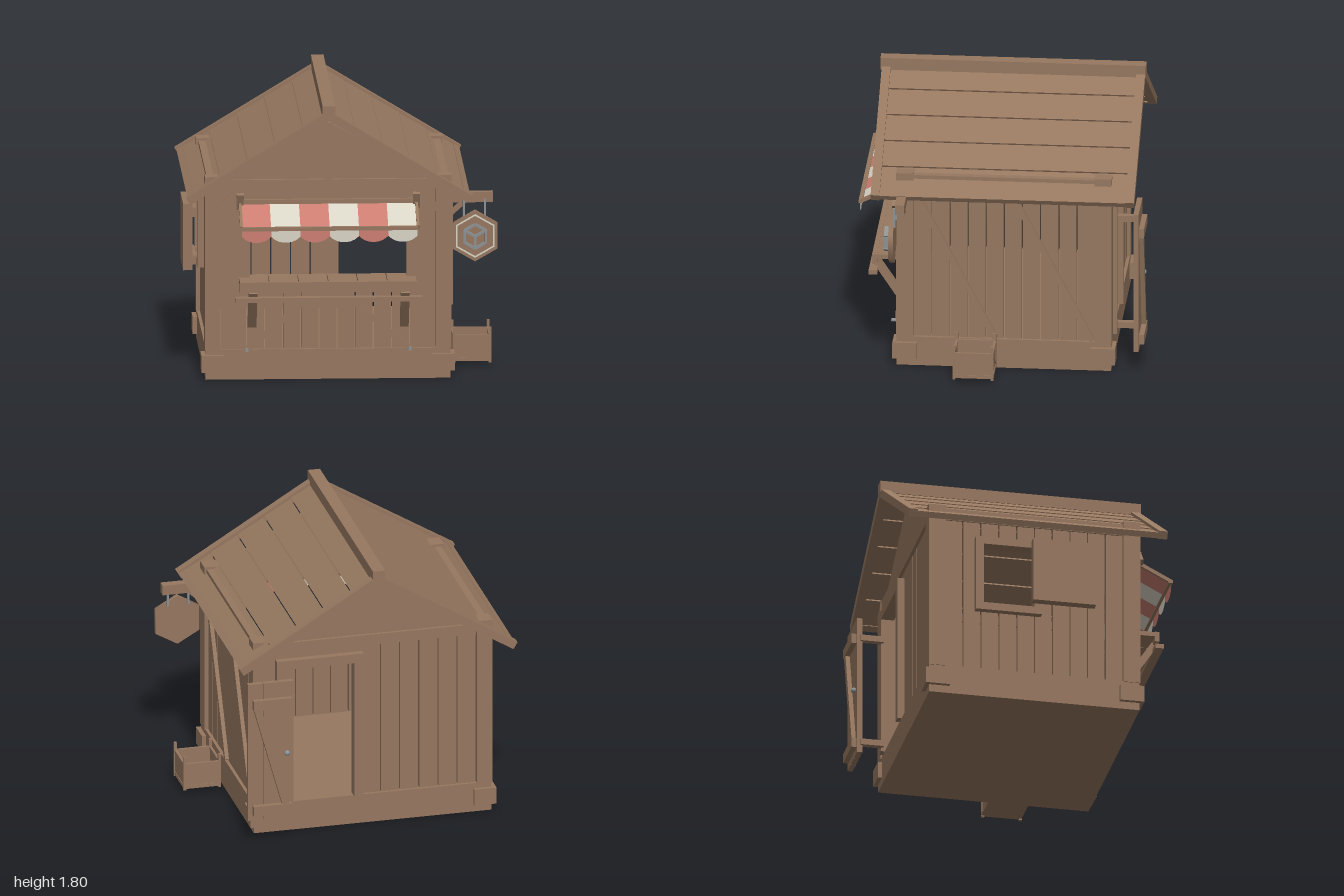
import * as THREE from 'three';

const material = (name, color, side = THREE.FrontSide) => {
  const m = new THREE.MeshStandardMaterial({ color, side });
  m.name = name;
  return m;
};

export function createModel() {
  const wood = material('wood', 0x967860);
  const cream = material('cream cloth', 0xd9d5c6, THREE.DoubleSide);
  const red = material('red cloth', 0xcc7d72, THREE.DoubleSide);
  const metal = material('grey metal', 0x8b9294);

  const root = new THREE.Group();
  root.name = 'marketHut';
  const CX = -0.08, ZC = -0.025; // house centre
  const sides = [-1, 1];

  const add = (name, geo, mat = wood, parent = root) => {
    const m = new THREE.Mesh(geo, mat);
    m.name = name;
    parent.add(m);
    return m;
  };
  const box = (name, x0, x1, y0, y1, z0, z1, mat = wood, parent = root) => {
    const m = add(name, new THREE.BoxGeometry(x1 - x0, y1 - y0, z1 - z0), mat, parent);
    m.position.set((x0 + x1) / 2, (y0 + y1) / 2, (z0 + z1) / 2);
    return m;
  };
  const beam = (name, p, q, w, d, mat = wood, parent = root) => {
    const a = new THREE.Vector3(...p), b = new THREE.Vector3(...q);
    const m = add(name, new THREE.BoxGeometry(w, a.distanceTo(b), d), mat, parent);
    m.position.copy(a).add(b).multiplyScalar(0.5);
    m.quaternion.setFromUnitVectors(new THREE.Vector3(0, 1, 0), b.sub(a).normalize());
    return m;
  };
  // Row of upright planks along x or z, with narrow gaps
  const planks = (name, axis, from, to, y0, y1, w0, w1) => {
    const n = Math.max(1, Math.round((to - from) / 0.12));
    const step = (to - from) / n;
    for (let i = 0; i < n; i++) {
      const a = from + i * step + 0.004, b = from + (i + 1) * step - 0.004;
      if (axis === 'x') box(name, a, b, y0, y1, w0, w1);
      else box(name, w0, w1, y0, y1, a, b);
    }
  };

  // Base, corner blocks and posts
  box('base', -0.86, 0.70, 0, 0.195, -0.71, 0.66);
  for (const sx of sides) for (const sz of sides) {
    const x = CX + sx * 0.735, z = ZC + sz * 0.633;
    box('cornerBlock', x - 0.073, x + 0.073, 0.05, 0.16, z - 0.078, z + 0.078);
    const px = CX + sx * 0.735;
    box('cornerPost', px - 0.05, px + 0.05, 0.19, 1.315, z - 0.055, z + 0.055);
  }
  for (const sx of sides) {
    const x = CX + sx * 0.74;
    box('topPlate', x - 0.03, x + 0.03, 1.22, 1.30, -0.62, 0.57);
  }

  // Right and left side walls; the left of the pair has a window
  planks('sidePlank', 'z', -0.605, 0.555, 0.19, 1.24, 0.65, 0.68);
  beam('sideBrace', [0.69, 1.2, 0.55], [0.69, 0.2, 0.03], 0.03, 0.036);
  beam('sideBrace', [0.69, 1.2, -0.07], [0.69, 0.2, -0.59], 0.03, 0.036);
  planks('sidePlank', 'z', -0.605, -0.37, 0.19, 1.24, -0.84, -0.81);
  planks('sidePlank', 'z', -0.37, -0.02, 0.19, 0.64, -0.84, -0.81);
  planks('sidePlank', 'z', -0.37, -0.02, 1.07, 1.24, -0.84, -0.81);
  planks('sidePlank', 'z', -0.02, 0.555, 0.19, 1.24, -0.84, -0.81);
  box('windowSill', -0.885, -0.80, 0.60, 0.65, -0.41, 0.02);
  box('windowHead', -0.885, -0.80, 1.06, 1.11, -0.41, 0.02);
  box('windowJamb', -0.885, -0.80, 0.65, 1.06, -0.41, -0.36);
  box('windowJamb', -0.885, -0.80, 0.65, 1.06, -0.03, 0.02);
  // Open shutter
  box('shutter', -0.99, -0.93, 0.65, 1.08, -0.06, 0.35);
  box('shutterBatten', -0.93, -0.905, 0.68, 0.74, -0.03, 0.32);
  box('shutterBatten', -0.93, -0.905, 0.99, 1.05, -0.03, 0.32);
  box('shutterHinge', -0.91, -0.86, 0.70, 0.73, -0.04, 0.0);
  box('shutterHinge', -0.91, -0.86, 1.0, 1.03, -0.04, 0.0);

  // Front wall with the serving opening
  planks('frontPlank', 'x', -0.765, -0.60, 0.19, 1.24, 0.61, 0.64);
  planks('frontPlank', 'x', 0.44, 0.605, 0.19, 1.24, 0.61, 0.64);
  planks('frontPlank', 'x', -0.60, 0.44, 0.19, 0.61, 0.61, 0.64);
  box('openingHeader', -0.68, 0.52, 1.16, 1.225, 0.60, 0.65);
  for (const s of sides) {
    const x = CX + s * 0.55;
    box('openingPost', x - 0.05, x + 0.05, 0.60, 1.18, 0.60, 0.65);
    beam('kneeBrace', [CX + s * 0.735, 1.06, 0.675], [CX + s * 0.555, 1.25, 0.675], 0.04, 0.035);
    beam('frontBrace', [CX + s * 0.52, 0.195, 0.675], [CX + s * 0.06, 0.59, 0.675], 0.035, 0.03);
    const bolt = add('bolt', new THREE.CylinderGeometry(0.012, 0.012, 0.03, 8), metal);
    bolt.rotation.x = Math.PI / 2;
    bolt.position.set(CX + s * 0.52, 0.2, 0.70);
    beam('counterBrace', [CX + s * 0.485, 0.35, 0.65], [CX + s * 0.485, 0.60, 0.815], 0.055, 0.045);
  }

  // Counter
  for (let i = 0; i < 6; i++) {
    const x = -0.65 + i * 0.1883;
    box('counterPlank', x + 0.002, x + 0.186, 0.63, 0.66, 0.55, 0.815);
  }
  box('counterFront', -0.65, 0.48, 0.595, 0.662, 0.805, 0.835);
  box('counterRail', -0.68, 0.51, 0.535, 0.565, 0.80, 0.855);

  // Back wall with the doorway
  planks('backPlank', 'x', -0.765, -0.01, 0.19, 1.24, -0.69, -0.66);
  planks('backPlank', 'x', 0.545, 0.605, 0.19, 1.24, -0.69, -0.66);
  box('doorJamb', -0.015, 0.045, 0.195, 1.18, -0.735, -0.65);
  box('doorJamb', 0.495, 0.555, 0.195, 1.18, -0.735, -0.65);
  box('doorHead', 0.045, 0.495, 1.12, 1.18, -0.735, -0.65);
  box('doorLintel', -0.015, 0.555, 1.18, 1.24, -0.69, -0.66);

  // Door swung fully open
  for (let i = 0; i < 3; i++) {
    const x = 0.485 + i * 0.1;
    box('doorPlank', x, x + 0.098, 0.17, 1.11, -0.892, -0.858);
  }
  for (const y of [0.21, 0.94]) {
    box('doorBatten', 0.50, 0.755, y, y + 0.065, -0.925, -0.892);
    box('doorHinge', 0.47, 0.51, y + 0.01, y + 0.05, -0.87, -0.72);
  }
  beam('doorBrace', [0.73, 0.95, -0.907], [0.54, 0.265, -0.907], 0.045, 0.028);
  add('doorKnob', new THREE.SphereGeometry(0.018, 12, 8), metal).position.set(0.53, 0.62, -0.905);

  // Gables and tie beams
  const gable = new THREE.Shape([[-0.77, 1.225], [0.77, 1.225], [0, 1.665]]
    .map(([x, y]) => new THREE.Vector2(x, y)));
  for (const z of [0.60, -0.69]) {
    const g = add('gable', new THREE.ExtrudeGeometry(gable, { depth: 0.04, bevelEnabled: false }));
    g.position.set(CX, 0, z);
  }
  box('tieBeam', -0.76, 0.595, 1.225, 1.295, 0.60, 0.665);
  box('tieBeam', -0.76, 0.595, 1.225, 1.295, -0.71, -0.65);
  box('kingPost', CX - 0.027, CX + 0.027, 1.27, 1.67, 0.63, 0.69);

  // Roof: each slope is built flat and then tilted
  const run = 0.912, drop = 0.555, tilt = Math.atan2(drop, run), len = Math.hypot(run, drop);
  for (const s of sides) {
    const slope = new THREE.Group();
    slope.name = s > 0 ? 'leftRoof' : 'rightRoof';
    slope.position.set(CX, 1.765, ZC);
    slope.rotation.z = -s * tilt;
    root.add(slope);
    const part = (name, u0, u1, y0, y1, z0, z1) =>
      box(name, Math.min(s * u0, s * u1), Math.max(s * u0, s * u1), y0, y1, z0, z1, wood, slope);
    const step = (len - 0.04) / 5;
    for (let i = 0; i < 5; i++) {
      const p = part('roofPlank', i * step + 0.003, (i + 1) * step - 0.003, -0.045, -0.018, -0.80, 0.80);
      p.rotation.z = s * 0.025;
    }
    for (const z of sides) part('bargeBoard', 0, len, -0.052, 0, z * 0.813 - 0.028, z * 0.813 + 0.028);
    part('eaveBoard', len - 0.05, len - 0.005, -0.05, -0.012, -0.83, 0.83);
  }
  box('ridgeBeam', CX - 0.042, CX + 0.038, 1.72, 1.80, -0.87, 0.825);

  // Striped awning with scalloped edge
  const x0 = -0.64, w = 0.1865;
  for (let i = 0; i < 6; i++) {
    const mat = i % 2 ? cream : red, xm = x0 + (i + 0.5) * w;
    beam('awningStripe', [xm, 1.145, 0.66], [xm, 1.022, 0.90], w, 0.008, mat);
    const sc = new THREE.Shape();
    sc.moveTo(-w / 2, 1.02);
    sc.lineTo(-w / 2, 0.975);
    sc.bezierCurveTo(-w / 4, 0.922, w / 4, 0.922, w / 2, 0.975);
    sc.lineTo(w / 2, 1.02);
    add('awningScallop', new THREE.ShapeGeometry(sc, 10), mat).position.set(xm, 0, 0.912);
  }
  box('awningFrontBar', -0.652, 0.485, 1.012, 1.036, 0.893, 0.92);
  box('awningTopBar', -0.645, 0.48, 1.14, 1.168, 0.65, 0.68);
  for (const s of sides) {
    const x = CX + s * 0.562;
    beam('awningArm', [x, 1.15, 0.665], [x, 1.028, 0.905], 0.018, 0.024);
    beam('awningBracket', [x, 1.11, 0.66], [x, 1.21, 0.70], 0.045, 0.03);
  }

  // Hanging six-sided sign on its bracket
  box('signBeam', 0.68, 0.97, 1.135, 1.20, 0.59, 0.65);
  beam('signBrace', [0.69, 1.05, 0.62], [0.79, 1.14, 0.62], 0.03, 0.035);
  for (const x of [0.785, 0.92]) box('signHanger', x - 0.007, x + 0.007, 1.03, 1.16, 0.65, 0.664, metal);
  const sign = new THREE.Group();
  sign.name = 'sign';
  sign.position.set(0.855, 0.925, 0.675);
  root.add(sign);
  add('signBoard', new THREE.CylinderGeometry(0.166, 0.166, 0.03, 6).rotateX(Math.PI / 2), wood, sign);
  add('signRing', new THREE.RingGeometry(0.13, 0.142, 6, 1, Math.PI / 2), cream, sign).position.z = 0.018;
  // Outline of a box as the sign's picture
  const corner = (i, r = 0.078) =>
    [r * Math.sin(i * Math.PI / 3), r * Math.cos(i * Math.PI / 3), 0.032];
  for (let i = 0; i < 6; i++) {
    beam('signOutline', corner(i), corner(i + 1), 0.014, 0.034, metal, sign);
    if (i % 2) beam('signOutline', [0, 0, 0.032], corner(i), 0.014, 0.034, metal, sign);
  }

  // Open crate beside the hut
  const c = { x0: 0.73, x1: 0.975, z0: 0.02, z1: 0.28 };
  box('crateFloor', c.x0, c.x1, 0.03, 0.05, c.z0, c.z1);
  for (const x of [c.x0, c.x1 - 0.016]) {
    box('crateSide', x + 0.004, x + 0.012, 0.05, 0.19, c.z0, c.z1);
    for (const y of [0.03, 0.18]) box('crateSideRail', x, x + 0.016, y, y + 0.022, c.z0, c.z1);
    for (const z of [c.z0, c.z1 - 0.016]) box('cratePost', x, x + 0.018, 0.02, 0.25, z, z + 0.018);
  }
  for (const z of [c.z0, c.z1 - 0.016]) {
    box('crateEnd', c.x0, c.x1, 0.05, 0.19, z + 0.004, z + 0.012);
    for (const y of [0.03, 0.18]) box('crateEndRail', c.x0, c.x1, y, y + 0.022, z, z + 0.016);
    beam('crateBrace', [c.x0 + 0.02, 0.05, z + 0.008], [c.x1 - 0.02, 0.18, z + 0.008], 0.018, 0.016);
  }
  return root;
}
